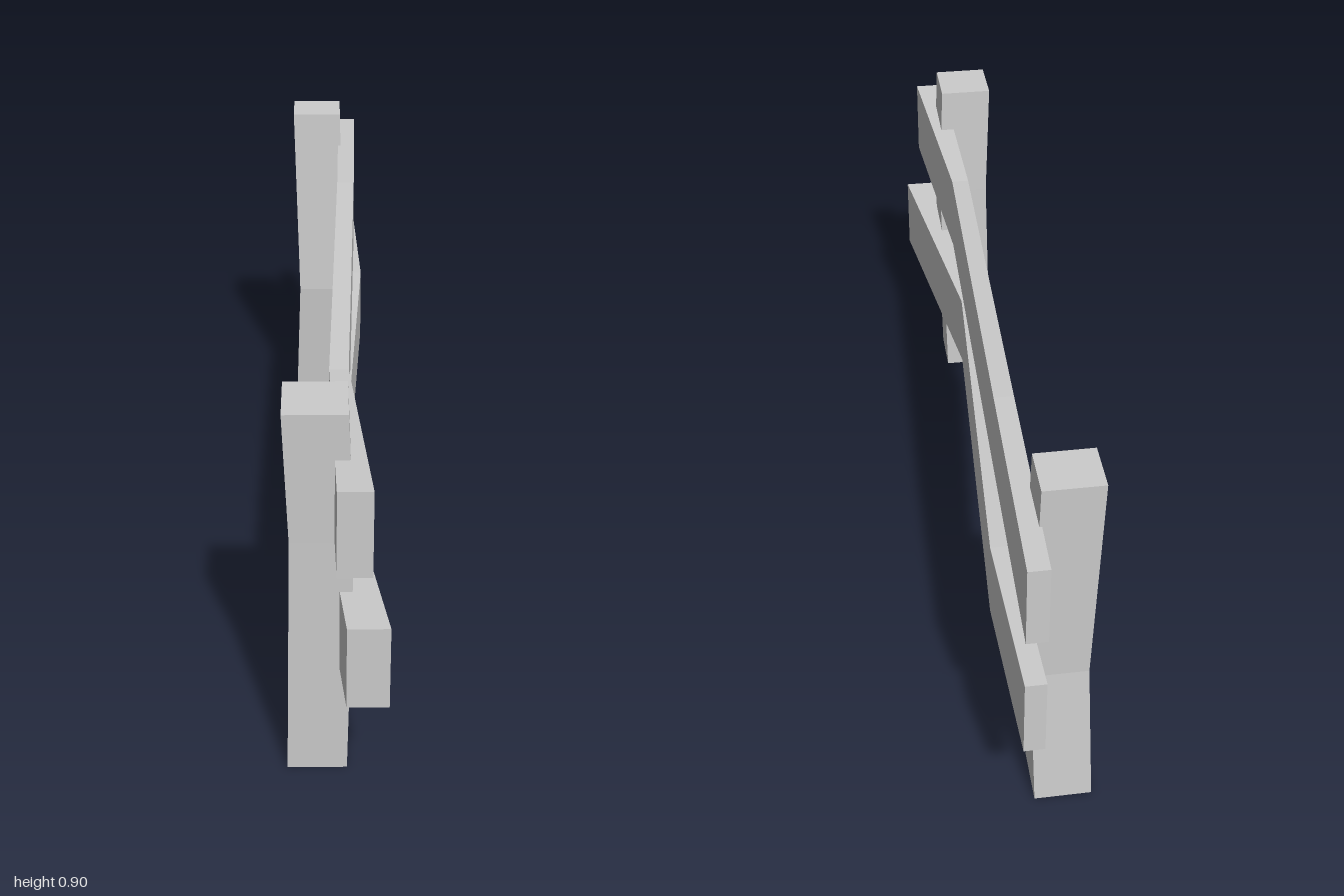
import * as THREE from 'three';

const material = new THREE.MeshStandardMaterial({ color: 0xcccccc, flatShading: true });

// Beam of rectangular cross-sections: moves the rings of a segmented box.
// Each station is [position along axis, xMin, xMax, otherMin, otherMax].
function beam(name, axis, stations) {
  const n = stations.length - 1;
  const alongY = axis === 'y';
  const geometry = new THREE.BoxGeometry(1, 1, 1, 1, alongY ? n : 1, alongY ? 1 : n);
  const p = geometry.attributes.position;
  for (let i = 0; i < p.count; i++) {
    const t = alongY ? p.getY(i) : p.getZ(i);
    const side = alongY ? p.getZ(i) : p.getY(i);
    const [s, x0, x1, o0, o1] = stations[Math.round((t + 0.5) * n)];
    const x = p.getX(i) < 0 ? x0 : x1;
    const o = side < 0 ? o0 : o1;
    if (alongY) p.setXYZ(i, x, s, o);
    else p.setXYZ(i, x, o, s);
  }
  geometry.computeVertexNormals();
  const mesh = new THREE.Mesh(geometry, material);
  mesh.name = name;
  return mesh;
}

export function createModel() {
  const fence = new THREE.Group();
  fence.name = 'fence';

  // Posts, each with one slight kink (y, x range, z range)
  fence.add(beam('frontPost', 'y', [
    [0, -0.107, 0.022, 0.738, 0.865],
    [0.6, -0.096, 0.034, 0.746, 0.876],
    [0.9, -0.107, 0.022, 0.755, 0.885],
  ]));
  fence.add(beam('backPost', 'y', [
    [0, -0.107, 0.022, -0.903, -0.774],
    [0.37, -0.094, 0.032, -0.873, -0.747],
    [0.9, -0.107, 0.022, -0.885, -0.772],
  ]));

  // Warped rails, thinner towards the back (z, x range, y range)
  fence.add(beam('upperRail', 'z', [
    [-1, 0.02, 0.066, 0.61, 0.805],
    [-0.48, 0.012, 0.056, 0.62, 0.815],
    [0.49, -0.014, 0.028, 0.585, 0.78],
    [1, -0.002, 0.068, 0.606, 0.803],
  ]));
  fence.add(beam('lowerRail', 'z', [
    [-1, 0.02, 0.066, 0.288, 0.487],
    [-0.6, 0.033, 0.08, 0.298, 0.493],
    [0.4, -0.042, 0.018, 0.263, 0.46],
    [1, 0.018, 0.105, 0.285, 0.483],
  ]));

  return fence;
}
